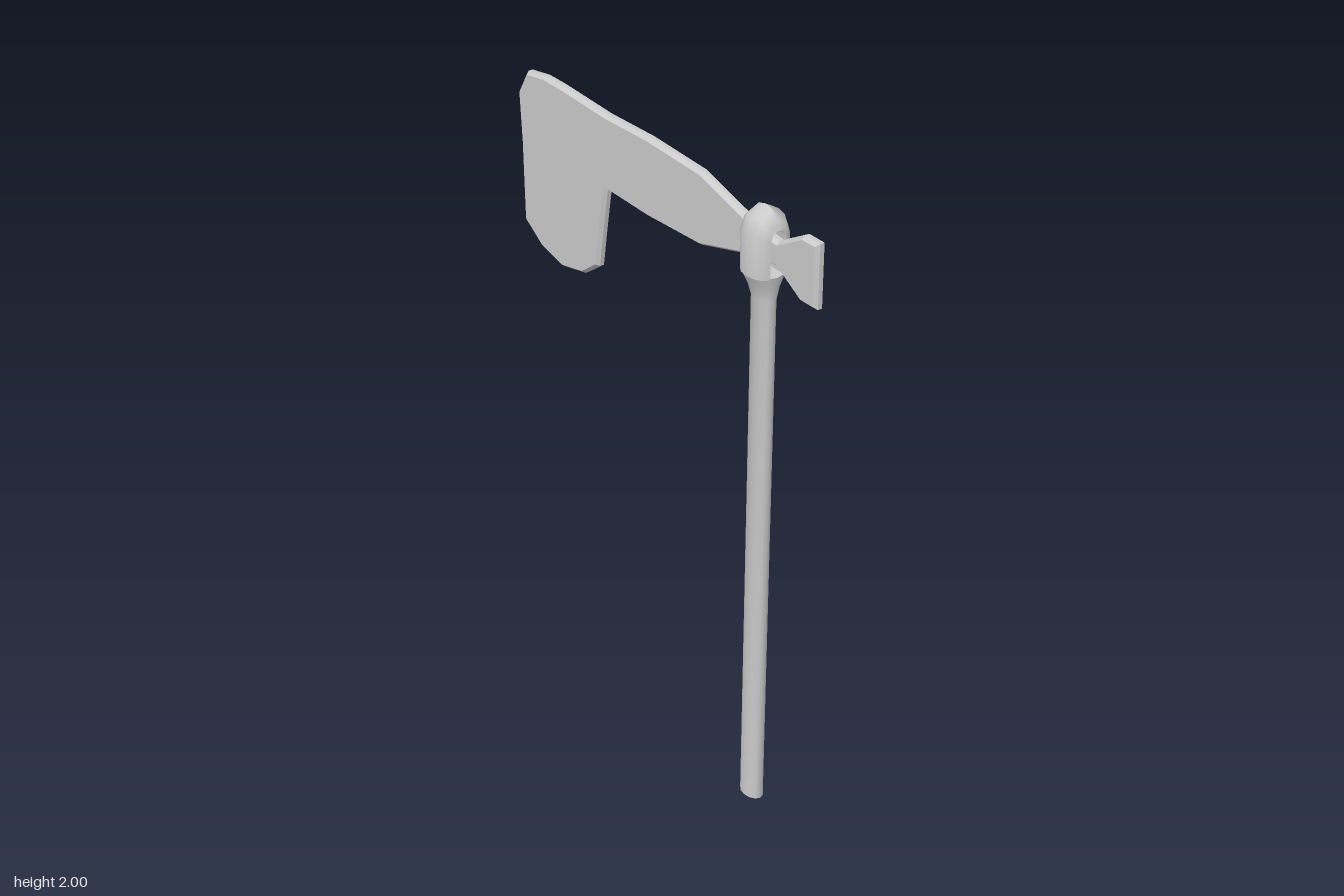
import * as THREE from 'three';
import { toCreasedNormals } from 'three/addons/utils/BufferGeometryUtils.js';

const HANDLE_X = 0.465;

// Skin a list of closed rings (arrays of [x, y, z]) and cap both ends
function loft(rings) {
  const n = rings[0].length, index = [];
  for (let i = 0; i < rings.length - 1; i++) {
    for (let j = 0; j < n; j++) {
      const k = (j + 1) % n;
      const a = i * n + j, b = i * n + k, c = b + n, d = a + n;
      index.push(a, b, c, a, c, d);
    }
  }
  const end = (rings.length - 1) * n;
  for (let j = 1; j < n - 1; j++) {
    index.push(0, j + 1, j, end, end + j, end + j + 1);
  }
  const geo = new THREE.BufferGeometry();
  geo.setAttribute('position', new THREE.Float32BufferAttribute(rings.flat(2), 3));
  geo.setIndex(index);
  return toCreasedNormals(geo, 0.8);
}

// Oval shaft that swells into the floor of the eye: [y, half width x, half depth z]
function shaftGeometry() {
  const sections = [
    [0, 0.043, 0.029], [1.72, 0.043, 0.029], [1.76, 0.048, 0.042], [1.8, 0.058, 0.062],
  ];
  const sides = 12;
  return loft(sections.map(([y, rx, rz]) => Array.from({ length: sides }, (_, j) => {
    const t = (j / sides) * Math.PI * 2;
    return [rx * Math.cos(t), y, -rz * Math.sin(t)];
  })));
}

// Rounded arch over the slot: D-shaped section, flat inside, round outside
function eyeGeometry() {
  // [inner z, inner y, outer z, outer y] from the foot to the crown
  const half = [
    [0.026, 1.8, 0.062, 1.8],
    [0.026, 1.915, 0.061, 1.925],
    [0.018, 1.935, 0.045, 1.97],
  ];
  const mirrored = half.map(([iz, iy, oz, oy]) => [-iz, iy, -oz, oy]).reverse();
  const path = [...half, [0, 1.94, 0, 1.997], ...mirrored];
  const steps = 6;
  return loft(path.map(([iz, iy, oz, oy]) => Array.from({ length: steps + 1 }, (_, j) => {
    const t = (j / steps - 0.5) * Math.PI, c = Math.cos(t);
    return [0.058 * Math.sin(t), iy + (oy - iy) * c, iz + (oz - iz) * c];
  })));
}

// Hooked blade with a narrow neck and flared butt, bevelled on the front only
function bladeGeometry() {
  const outline = [
    [0.69, 1.97], [0.628, 1.97], [0.525, 1.91], [0.405, 1.925], [0.19, 1.985],
    [-0.05, 1.995], [-0.25, 1.99], [-0.48, 2], [-0.56, 2], [-0.65, 1.985],
    [-0.695, 1.91], [-0.685, 1.75], [-0.68, 1.49], [-0.59, 1.43], [-0.485, 1.406],
    [-0.375, 1.43], [-0.3, 1.485], [-0.28, 1.61], [-0.255, 1.755], [-0.05, 1.75],
    [0.19, 1.76], [0.405, 1.82], [0.525, 1.835], [0.628, 1.775], [0.69, 1.775],
  ];
  const shape = new THREE.Shape(outline.map(([x, y]) => new THREE.Vector2(x, y)));
  const geo = new THREE.ExtrudeGeometry(shape, {
    depth: 0.014, bevelThickness: 0.012, bevelSize: 0.009, bevelOffset: -0.009, bevelSegments: 1,
  });
  // Flatten the rear bevel into the back face
  const p = geo.attributes.position;
  for (let i = 0; i < p.count; i++) p.setZ(i, Math.max(p.getZ(i), 0));
  geo.translate(0, 0, -0.015);
  geo.computeVertexNormals();
  return geo;
}

export function createModel() {
  const group = new THREE.Group();
  const smooth = new THREE.MeshStandardMaterial({ color: 0xcccccc });
  const flat = new THREE.MeshStandardMaterial({ color: 0xcccccc, flatShading: true });

  const add = (name, geometry, material, x = 0) => {
    const mesh = new THREE.Mesh(geometry, material);
    mesh.name = name;
    mesh.position.x = x;
    group.add(mesh);
  };

  add('handleShaft', shaftGeometry(), smooth, HANDLE_X);
  add('handleEye', eyeGeometry(), smooth, HANDLE_X);
  add('blade', bladeGeometry(), flat);
  return group;
}
